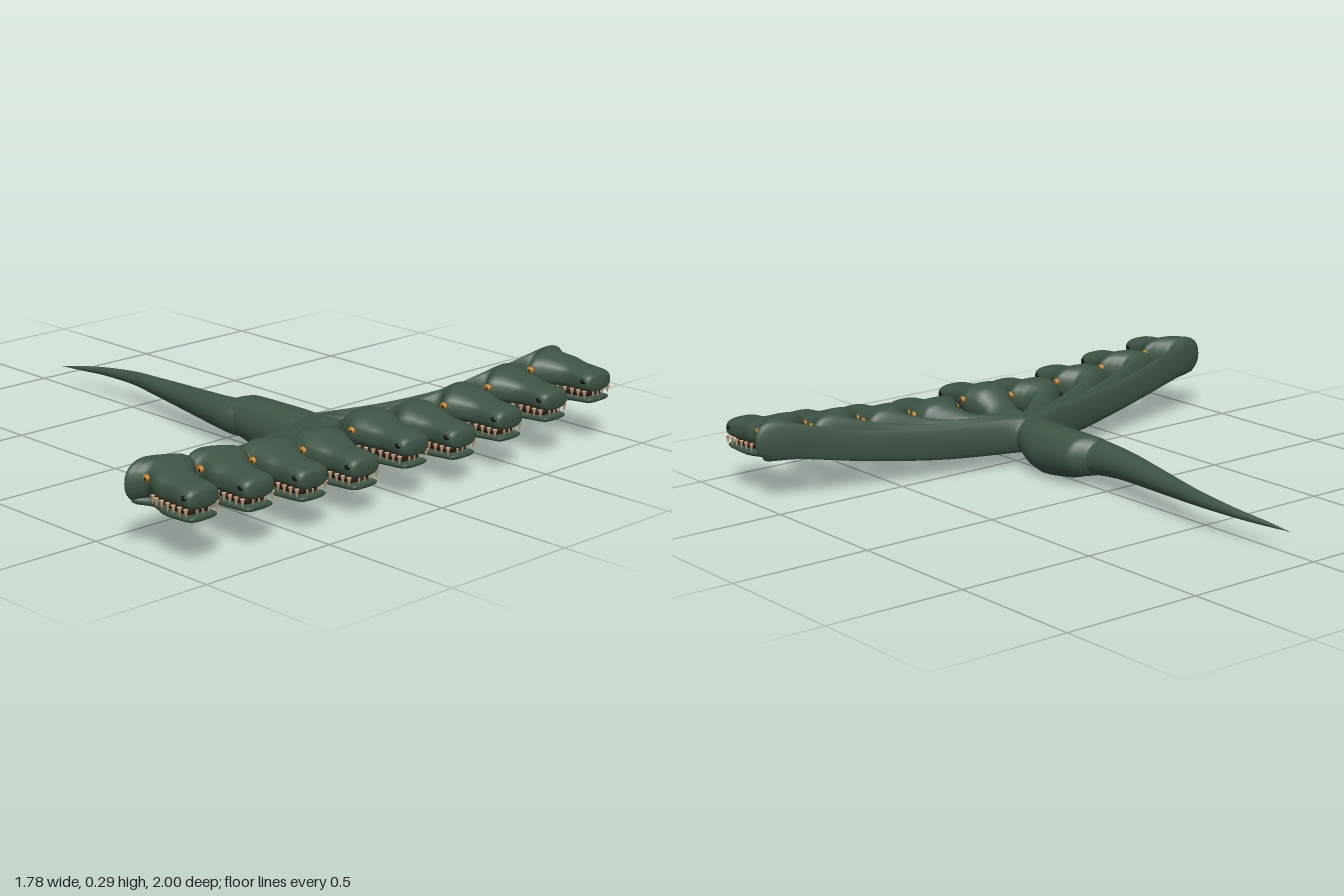
import * as THREE from 'three';
import { mergeGeometries } from 'three/addons/utils/BufferGeometryUtils.js';

const mat = (name, color) => {
  const m = new THREE.MeshStandardMaterial({ color });
  m.name = name;
  return m;
};

// Skin over sections [x, y, z, halfWidth, halfHeight, boxiness] that all face along x
function loft(sections, steps = 5, sides = 24) {
  const centre = new THREE.CatmullRomCurve3(sections.map(s => new THREE.Vector3(s[0], s[1], s[2])), false, 'catmullrom', 0.5);
  const size = new THREE.CatmullRomCurve3(sections.map(s => new THREE.Vector3(s[3], s[4], s[5] ?? 1)), false, 'catmullrom', 0.5);
  const rings = (sections.length - 1) * steps;
  const pos = [], index = [];
  const soft = (v, e) => Math.sign(v) * Math.pow(Math.abs(v), e);
  for (let i = 0; i <= rings; i++) {
    const c = centre.getPoint(i / rings), s = size.getPoint(i / rings);
    const w = Math.max(s.x, 0.0005), h = Math.max(s.y, 0.0005);
    for (let j = 0; j < sides; j++) {
      const a = (j / sides) * Math.PI * 2;
      pos.push(c.x, c.y + h * soft(Math.cos(a), s.z), c.z + w * soft(Math.sin(a), s.z));
    }
  }
  for (let i = 0; i < rings; i++) {
    for (let j = 0; j < sides; j++) {
      const a = i * sides + j, b = i * sides + (j + 1) % sides;
      index.push(a, b, a + sides, b, b + sides, a + sides);
    }
  }
  const g = new THREE.BufferGeometry();
  g.setAttribute('position', new THREE.Float32BufferAttribute(pos, 3));
  g.setIndex(index);
  g.computeVertexNormals();
  return g;
}

// Sideways spread of a neck at x, as a share of its head's z: [x, share]
const SPREAD = [[0.36, 0], [0.42, 0.02], [0.5, 0.33], [0.56, 0.65], [0.6, 0.91], [0.63, 1.015], [0.66, 0.99], [0.69, 0.955], [0.74, 0.985], [0.8, 1]];
function spread(x) {
  for (let i = 1; i < SPREAD.length; i++) {
    const [x0, f0] = SPREAD[i - 1], [x1, f1] = SPREAD[i];
    if (x <= x1) return f0 + (f1 - f0) * Math.max(0, (x - x0) / (x1 - x0));
  }
  return 1;
}

// Neck and skull: x, bottom, top, half width, boxiness
const NECK = [
  [0.36, 0.06, 0.165, 0.06, 1], [0.42, 0.055, 0.182, 0.065, 1], [0.5, 0.062, 0.185, 0.068, 1],
  [0.56, 0.085, 0.194, 0.07, 1], [0.6, 0.11, 0.226, 0.068, 1], [0.63, 0.112, 0.25, 0.078, 0.9],
  [0.66, 0.122, 0.256, 0.088, 0.85], [0.69, 0.137, 0.255, 0.096, 0.85], [0.74, 0.144, 0.239, 0.08, 0.75],
  [0.79, 0.145, 0.226, 0.063, 0.7], [0.86, 0.146, 0.218, 0.064, 0.7], [0.884, 0.15, 0.208, 0.056, 0.75],
  [0.89, 0.168, 0.19, 0.025, 0.8], [0.891, 0.178, 0.18, 0, 0.8],
];
const JAW = [
  [0.625, 0.125, 0.135, 0.01, 0.9], [0.635, 0.11, 0.145, 0.06, 0.8], [0.69, 0.103, 0.14, 0.076, 0.7],
  [0.76, 0.102, 0.132, 0.064, 0.68], [0.82, 0.104, 0.131, 0.057, 0.68], [0.87, 0.108, 0.131, 0.055, 0.7],
  [0.885, 0.113, 0.129, 0.045, 0.8], [0.888, 0.12, 0.122, 0, 0.8],
];
const MOUTH = [
  [0.65, 0.12, 0.155, 0.045, 0.7], [0.7, 0.12, 0.155, 0.054, 0.7], [0.76, 0.12, 0.155, 0.048, 0.7],
  [0.855, 0.12, 0.155, 0.04, 0.7], [0.863, 0.125, 0.15, 0, 0.7],
];

export function createModel() {
  const scales = mat('dark green scales', 0x3d5445);
  const eyeAmber = mat('amber eye', 0xc07c1c);
  const black = mat('black', 0x111211);
  const ivory = mat('tan teeth', 0xd0ab80);
  const flesh = mat('dark mouth', 0x2a1816);

  const model = new THREE.Group();
  model.name = 'manyHeadedSerpent';
  const add = (parent, name, geometry, material) => {
    const m = new THREE.Mesh(geometry, material);
    m.name = name;
    parent.add(m);
    return m;
  };

  // Tail, winding gently sideways
  add(model, 'tail', loft([
    [-0.89, 0.073, 0.003, 0, 0], [-0.8, 0.081, -0.012, 0.008, 0.008], [-0.68, 0.09, -0.03, 0.015, 0.015],
    [-0.52, 0.098, -0.033, 0.023, 0.024], [-0.4, 0.1, -0.02, 0.03, 0.031], [-0.25, 0.103, 0.0, 0.041, 0.04],
    [-0.1, 0.105, 0.02, 0.05, 0.049], [0, 0.104, 0.028, 0.055, 0.056], [0.08, 0.102, 0.027, 0.061, 0.062],
    [0.15, 0.1, 0.01, 0.06, 0.06],
  ]), scales);

  // Body with a sagging belly
  add(model, 'body', loft([
    [0.05, 0.103, 0.028, 0.045, 0.045], [0.075, 0.103, 0.026, 0.06, 0.064], [0.11, 0.105, 0.002, 0.077, 0.073],
    [0.15, 0.1, -0.002, 0.085, 0.08], [0.22, 0.095, -0.002, 0.088, 0.086], [0.29, 0.092, -0.002, 0.089, 0.09],
    [0.35, 0.099, -0.001, 0.086, 0.083], [0.4, 0.112, 0, 0.07, 0.07], [0.44, 0.12, 0, 0.058, 0.06],
    [0.46, 0.122, 0, 0, 0],
  ]), scales);

  // Nine necks and heads fanned out in a row
  const lifts = [0, -0.02, -0.006, 0.014, 0.034];
  for (let k = -4; k <= 4; k++) {
    const headZ = k * 0.2255, lift = lifts[Math.abs(k)];
    const at = x => headZ * spread(x);
    const rise = x => lift * THREE.MathUtils.clamp((x - 0.53) / 0.08, 0, 1);
    const place = rows => rows.map(([x, lo, hi, w, e]) => [x, (lo + hi) / 2 + rise(x), at(x), w, (hi - lo) / 2, e]);

    const head = new THREE.Group();
    head.name = 'neckAndHead' + (k + 5);
    model.add(head);
    add(head, 'neckAndSkull', loft(place(NECK)), scales);
    add(head, 'lowerJaw', loft(place(JAW), 4, 20), scales);
    add(head, 'mouthLining', loft(place(MOUTH), 3, 16), flesh);

    // Upper teeth along both sides and across the front
    const teeth = [];
    const tooth = (x, z, r = 0.008) => teeth.push(new THREE.ConeGeometry(r, 0.03, 6)
      .rotateX(Math.PI).translate(x, 0.14 + lift, at(x) + z));
    for (const side of [-1, 1]) {
      for (let i = 0; i < 7; i++) tooth(0.705 + i * 0.0275, side * Math.max(0.061, 0.077 - i * 0.005));
    }
    for (let i = -1; i <= 1; i++) tooth(0.877, i * 0.024, 0.006);
    add(head, 'teeth', mergeGeometries(teeth), ivory);

    // Eyes and nostrils
    for (const side of [-1, 1]) {
      const eye = add(head, 'eye', new THREE.SphereGeometry(0.014, 16, 12), eyeAmber);
      eye.scale.set(1, 0.85, 0.7);
      eye.position.set(0.688, 0.206 + lift, at(0.688) + side * 0.092);
      const pupil = add(head, 'pupil', new THREE.SphereGeometry(0.005, 8, 8), black);
      pupil.scale.set(0.7, 1.1, 0.5);
      pupil.position.set(0.691, 0.205 + lift, at(0.688) + side * 0.1005);
      const nostril = add(head, 'nostril', new THREE.SphereGeometry(0.011, 12, 8), black);
      nostril.scale.set(1.2, 0.85, 0.75);
      nostril.position.set(0.862, 0.187 + lift, at(0.862) + side * 0.059);
    }
  }
  return model;
}
